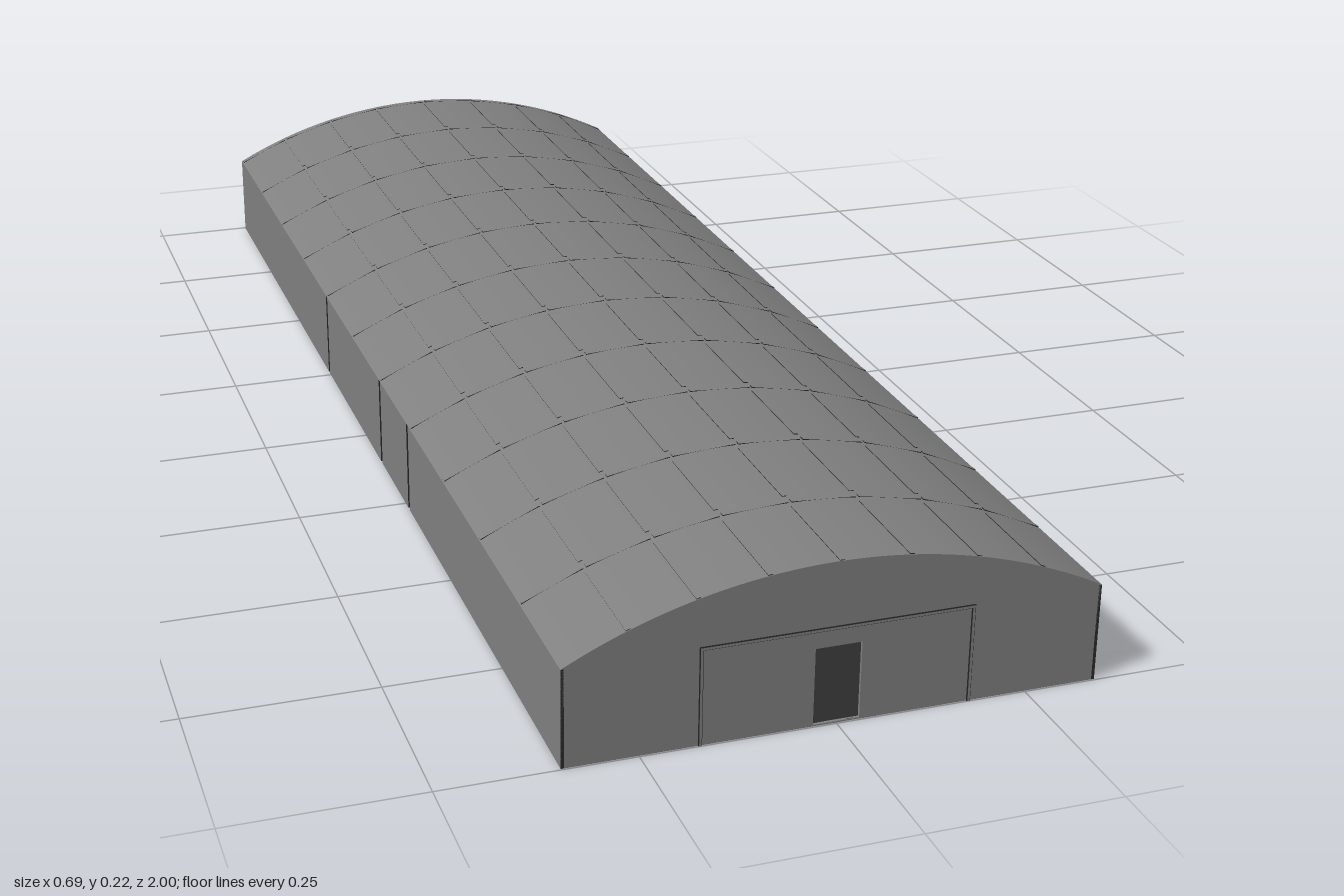
import * as THREE from 'three';

export function createModel() {
  const grey = new THREE.MeshStandardMaterial({ color: 0x808080, side: THREE.DoubleSide });
  grey.name = 'grey cladding';
  const dark = new THREE.MeshStandardMaterial({ color: 0x2b2b2b });
  dark.name = 'dark gaps and floor';

  const W = 0.346, EAVE = 0.131, RISE = 0.086, END = 0.998;
  const R = (W * W + RISE * RISE) / (2 * RISE);
  const CY = EAVE + RISE - R;
  const ALPHA = Math.asin(W / R);
  const BAYS = 11, STRIPS = 8, BAY = 0.1818;

  const model = new THREE.Group();
  model.name = 'longHall';
  const group = (name) => {
    const g = new THREE.Group();
    g.name = name;
    model.add(g);
    return g;
  };
  const box = (parent, name, size, pos, material, roll = 0) => {
    const m = new THREE.Mesh(new THREE.BoxGeometry(...size), material);
    m.name = name;
    m.position.set(...pos);
    m.rotation.z = roll;
    parent.add(m);
    return m;
  };

  // Floor slab
  box(model, 'floor', [2 * W - 0.004, 0.002, 2 * END - 0.002], [0, 0.001, 0], dark);

  // Curved roof skin
  const skin = new THREE.CylinderGeometry(R, R, 2 * END, 48, 1, true, Math.PI - ALPHA, 2 * ALPHA);
  skin.rotateX(Math.PI / 2);
  const roof = new THREE.Mesh(skin, grey);
  roof.name = 'roof';
  roof.position.y = CY;
  model.add(roof);

  // Straight rib chords and lengthwise purlins, just breaking through the roof
  const topGrey = [dark, dark, grey, dark, dark, dark];
  const ribs = group('roofRibs');
  const step = (2 * ALPHA) / STRIPS;
  const onRoof = (name, angle, radius, size, z) =>
    box(ribs, name, size, [Math.sin(angle) * radius, CY + Math.cos(angle) * radius, z], topGrey, -angle);
  const seams = Array.from({ length: BAYS }, (_, i) => 0.83 - i * BAY);
  const chord = 2 * R * Math.sin(step / 2);
  for (const z of seams) {
    for (let i = 0; i < STRIPS; i++) {
      const a = -ALPHA + (i + 0.5) * step;
      onRoof('rib', a, R * Math.cos(step / 2) - 0.001, [chord - 0.004, 0.005, 0.008], z);
    }
  }
  for (let i = 1; i < STRIPS; i++) {
    for (let j = 0; j < BAYS; j++) {
      onRoof('purlin', -ALPHA + i * step, R - 0.0015, [0.006, 0.005, BAY - 0.03], seams[j] + BAY / 2);
    }
  }

  // Side walls: panels with narrow open joints between them
  const edgeDark = [grey, grey, grey, grey, dark, dark];
  const sideWall = (name, side, joints) => {
    const wall = group(name);
    const gap = 0.009;
    let start = END;
    for (const z of [...joints, -END - gap / 2]) {
      const end = Math.max(z + gap / 2, -END);
      if (start - end > 0.001) {
        box(wall, 'wallPanel', [0.004, EAVE, start - end],
          [side * (W - 0.002), EAVE / 2, (start + end) / 2], edgeDark);
      }
      start = z - gap / 2;
    }
  };
  sideWall('leftWall', 1, [0.83, 0.648, 0.285, 0.103, -0.079, -0.26, -0.442, -0.624, -0.806, -0.988]);
  sideWall('rightWall', -1, [0.27, 0.103, -0.26]);

  // End walls with an open doorway
  const face = new THREE.Shape();
  face.moveTo(-W, 0);
  face.lineTo(W, 0);
  face.lineTo(W, EAVE);
  face.absarc(0, CY, R, Math.PI / 2 - ALPHA, Math.PI / 2 + ALPHA, false);
  face.lineTo(-W, 0);
  const door = new THREE.Path();
  door.moveTo(-0.03, 0.002);
  door.lineTo(-0.03, 0.105);
  door.lineTo(0.03, 0.105);
  door.lineTo(0.03, 0.002);
  door.closePath();
  face.holes.push(door);
  const endGeo = new THREE.ExtrudeGeometry(face, { depth: 0.004, bevelEnabled: false, curveSegments: 48 });
  endGeo.translate(0, 0, END - 0.004);

  // Gate outline: grey trim with dark edges, standing slightly proud
  const frontOnly = [dark, dark, dark, dark, grey, dark];
  for (const [name, turn] of [['frontEnd', 0], ['backEnd', Math.PI]]) {
    const end = group(name);
    end.rotation.y = turn;
    const wall = new THREE.Mesh(endGeo, grey);
    wall.name = 'endWall';
    end.add(wall);
    const trims = [
      [-0.174, 0.0645, 0.003, 0.129],
      [0.174, 0.0645, 0.003, 0.129],
      [0, 0.1295, 0.351, 0.003],
    ];
    for (const [x, y, w, h] of trims) {
      box(end, 'gateTrimEdge', [w + 0.002, h + (h < 0.01 ? 0.002 : 0), 0.001], [x, y, END + 0.0005], dark);
      box(end, 'gateTrim', [w, h, 0.002], [x, y, END + 0.001], frontOnly);
    }
  }
  return model;
}
